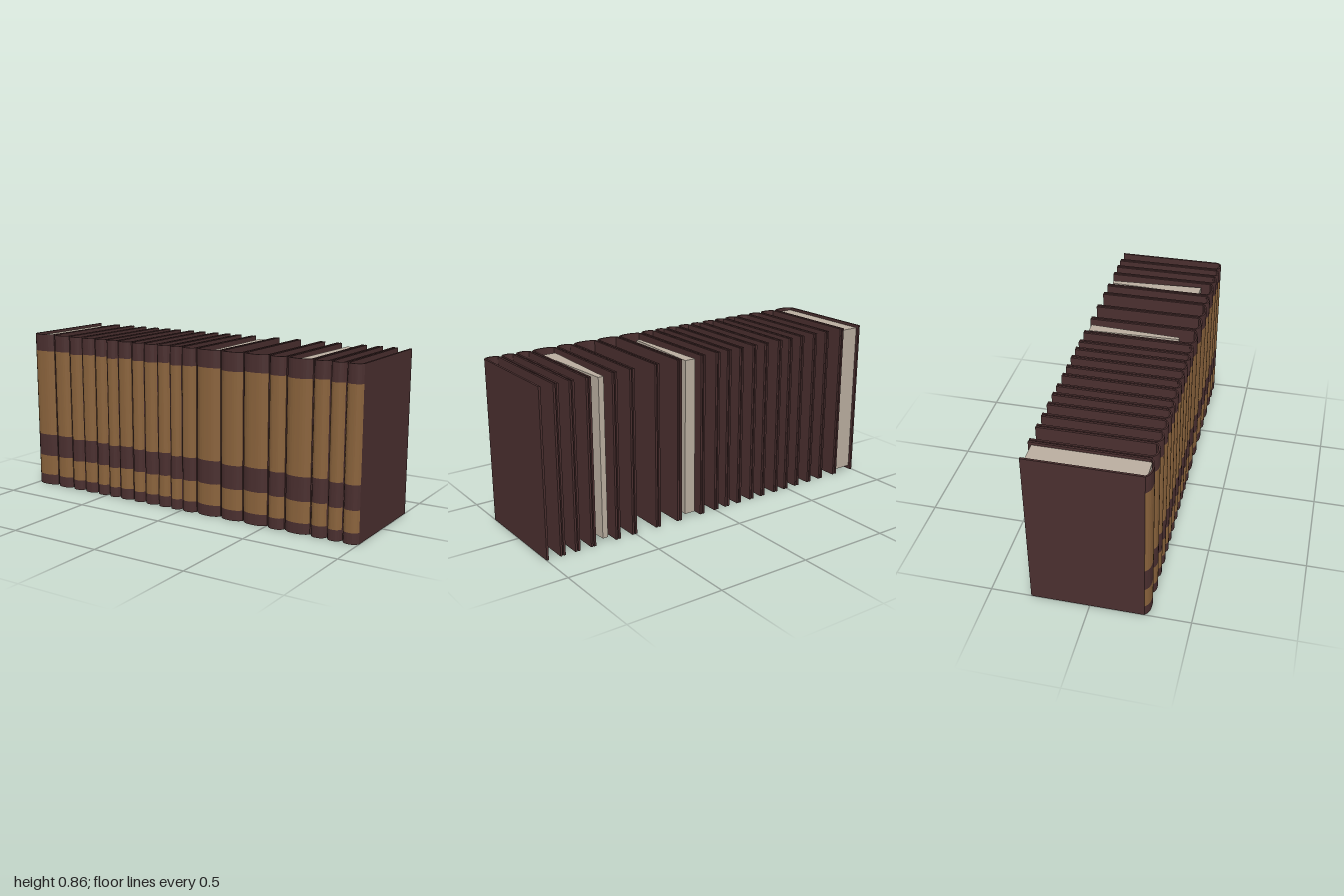
import * as THREE from 'three';

const material = (name, color) => {
  const m = new THREE.MeshStandardMaterial({ color });
  m.name = name;
  return m;
};

export function createModel() {
  const leather = material('dark leather', 0x4a2f2f);
  const tan = material('tan leather', 0x8a633c);
  const paper = material('paper', 0xbaaea0);

  const HEIGHT = 0.86, BACK = -0.295, HINGE = 0.27, FRONT = 0.295, BOARD = 0.011, GAP = 0.006;
  // Boundaries between the volumes along the row
  const bounds = [-1, -0.863, -0.752, -0.665, -0.573, -0.492, -0.418, -0.325, -0.247, -0.16, -0.08,
    -0.008, 0.085, 0.23, 0.362, 0.505, 0.602, 0.743, 0.831, 0.912, 1];

  const add = (group, name, geometry, mat) => {
    const mesh = new THREE.Mesh(geometry, mat);
    mesh.name = name;
    group.add(mesh);
    return mesh;
  };

  // Extrudes an outline of [x, z] points upward from y0 to y1
  const prism = (points, y0, y1) => {
    const shape = new THREE.Shape(points.map(([x, z]) => new THREE.Vector2(x, -z)));
    const geometry = new THREE.ExtrudeGeometry(shape, { depth: y1 - y0, bevelEnabled: false });
    return geometry.rotateX(-Math.PI / 2).translate(0, y0, 0);
  };

  // Rounded outline of a spine, hollow behind
  const spineOutline = (x0, x1) => {
    const mid = (x0 + x1) / 2, half = (x1 - x0) / 2, outer = [], inner = [];
    for (let i = 0; i <= 10; i++) {
      const t = i / 5 - 1;
      const z = HINGE + (FRONT - HINGE) * (1 - Math.abs(t) ** 3);
      outer.push([mid + half * t, z]);
      inner.unshift([mid + (half - 0.003) * t, z - 0.009]);
    }
    return [...outer, ...inner];
  };

  const createBook = (x0, x1, index) => {
    const book = new THREE.Group();
    book.name = `book${index + 1}`;

    // Cover boards
    const depth = HINGE - BACK;
    for (const [name, x] of [['rightBoard', x0 + BOARD / 2], ['leftBoard', x1 - BOARD / 2]]) {
      const board = add(book, name, new THREE.BoxGeometry(BOARD, HEIGHT, depth), leather);
      board.position.set(x, HEIGHT / 2, (HINGE + BACK) / 2);
    }

    // Spine in stacked bands, each volume slightly uneven
    const outline = spineOutline(x0, x1);
    const shift = 0.004 * Math.sin(index * 2.3);
    const levels = [0, 0.057 + shift / 2, 0.168 + shift, 0.291 + shift, 0.767 + shift, HEIGHT];
    for (let i = 0; i < 5; i++) {
      const isTan = i % 2 === 1;
      add(book, isTan ? 'spinePanel' : 'spineBand', prism(outline, levels[i], levels[i + 1]), isTan ? tan : leather);
    }
    return book;
  };

  const model = new THREE.Group();
  model.name = 'bookRow';
  for (let i = 0; i < bounds.length - 1; i++) {
    const x0 = bounds[i] + (i ? GAP / 2 : 0);
    const x1 = bounds[i + 1] - (i < bounds.length - 2 ? GAP / 2 : 0);
    model.add(createBook(x0, x1, i));
  }

  // Page blocks left in a few of the covers
  const pages = [
    [[-0.988, -0.28], [-0.988, 0.275], [-0.877, 0.275], [-0.877, -0.28]],
    [[0.125, -0.28], [0.14, 0.2], [0.16, 0.2], [0.185, -0.28]],
    [[0.653, -0.28], [0.635, 0.22], [0.71, 0.22], [0.682, -0.28]],
  ];
  for (const outline of pages) add(model, 'pages', prism(outline, 0.02, 0.845), paper);

  return model;
}
